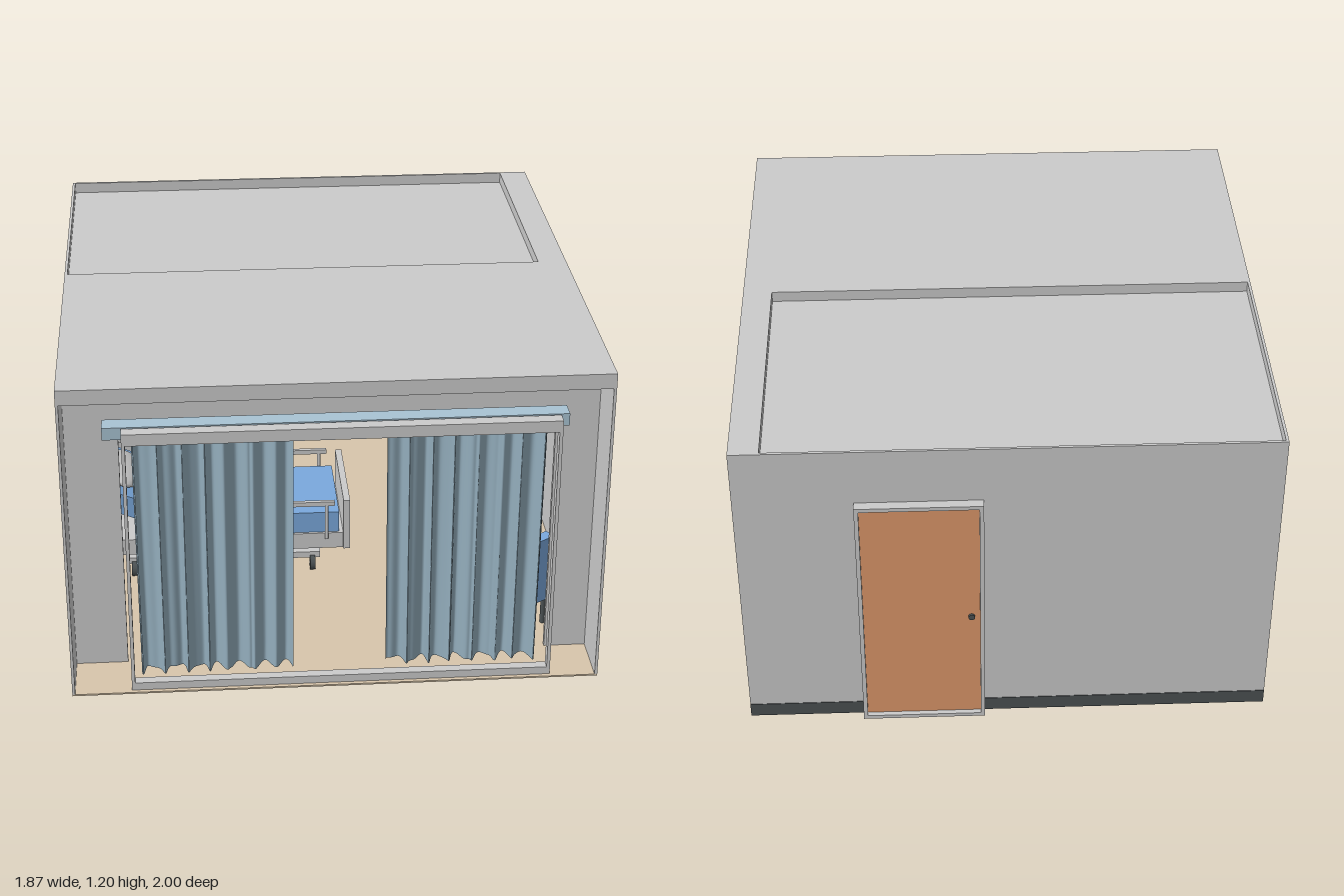
import * as THREE from 'three';

const mat = (color) => new THREE.MeshStandardMaterial({ color, side: THREE.DoubleSide });
const grey = mat(0xcccccc), beige = mat(0xd8c6ac), orange = mat(0xe09a6c), dark = mat(0x4c5254);
const fabric = mat(0x93adbc), blue = mat(0x7aa9dd), rail = mat(0xa9c4d4);

// box given by its min and max corners
function box(parent, name, x0, x1, y0, y1, z0, z1, m = grey) {
  const mesh = new THREE.Mesh(new THREE.BoxGeometry(x1 - x0, y1 - y0, z1 - z0), m);
  mesh.position.set((x0 + x1) / 2, (y0 + y1) / 2, (z0 + z1) / 2);
  mesh.name = name;
  parent.add(mesh);
  return mesh;
}

// round bar between two points
function bar(parent, name, a, b, r, m = grey) {
  const p = new THREE.Vector3(...a), q = new THREE.Vector3(...b);
  const mesh = new THREE.Mesh(new THREE.CylinderGeometry(r, r, p.distanceTo(q), 12), m);
  mesh.position.copy(p).add(q).multiplyScalar(0.5);
  mesh.quaternion.setFromUnitVectors(new THREE.Vector3(0, 1, 0), q.sub(p).normalize());
  mesh.name = name;
  parent.add(mesh);
  return mesh;
}

function group(parent, name, x = 0, y = 0, z = 0) {
  const g = new THREE.Group();
  g.name = name;
  g.position.set(x, y, z);
  parent.add(g);
  return g;
}

function caster(parent, x, z, r = 0.022) {
  bar(parent, 'caster', [x - 0.01, r, z], [x + 0.01, r, z], r, dark);
}

// floor, walls and stepped ceiling
function buildRoom(root) {
  const g = group(root, 'room');
  const W = 0.935, H = 1.195, B = -0.965, t = 0.01;
  box(g, 'floor', -W, W, 0, 0.006, B, 1, beige);
  box(g, 'rightWall', -W, -W + t, 0.006, H, B, 1);
  box(g, 'leftWall', W - t, W, 0.006, H, B, 1);
  box(g, 'backWall', -W + t, 0.09, 0.006, H, B, B + t);
  box(g, 'backWall', 0.52, W - t, 0.006, H, B, B + t);
  box(g, 'backWall', 0.09, 0.52, 0.975, H, B, B + t);
  box(g, 'frontCeiling', -W + t, W - t, 1.14, H, 0.01, 1);
  box(g, 'sideCeiling', 0.83, W - t, 1.14, H, B + t, 0.01);
  box(g, 'recessedCeiling', -W + t, 0.83, 1.14, 1.155, B + t, 0.01);
  box(g, 'frontPanel', -W + t, -0.74, 0.006, 1.14, 0.78, 0.8);
  box(g, 'frontPanel', 0.775, W - t, 0.006, 1.14, 0.78, 0.8);
  box(g, 'frontHeader', -0.74, 0.775, 0.98, 1.14, 0.78, 0.8);
  box(g, 'baseboard', -W, 0.085, 0, 0.055, B - 0.002, B + 0.02, dark);
  box(g, 'baseboard', 0.525, W, 0, 0.055, B - 0.002, B + 0.02, dark);
}

// back door with frame and handles on both faces
function buildDoor(root) {
  const g = group(root, 'door');
  for (const [x0, x1] of [[0.085, 0.1], [0.51, 0.525]]) box(g, 'doorFrame', x0, x1, 0, 0.98, -1, -0.93);
  box(g, 'doorFrame', 0.1, 0.51, 0.965, 0.98, -1, -0.93);
  box(g, 'doorFrame', 0.1, 0.51, 0, 0.015, -1, -0.93);
  box(g, 'doorPanel', 0.1, 0.51, 0.015, 0.965, -0.982, -0.945, orange);
  bar(g, 'handleRose', [0.13, 0.47, -0.99], [0.13, 0.47, -0.925], 0.012, dark);
  bar(g, 'handleLever', [0.13, 0.47, -0.926], [0.18, 0.47, -0.926], 0.005, dark);
}

// glazing frame, curtain rail and pleated curtains
function buildFront(root) {
  const g = group(root, 'frontScreen');
  box(g, 'frameSide', -0.725, -0.713, 0, 0.985, 0.95, 0.985);
  box(g, 'frameSide', 0.753, 0.765, 0, 0.985, 0.95, 0.985);
  box(g, 'frameTop', -0.725, 0.765, 0.975, 1.018, 0.94, 0.985);
  box(g, 'frameBottom', -0.725, 0.765, 0, 0.035, 0.95, 0.985);
  box(g, 'curtainRailTop', -0.79, 0.795, 1.012, 1.02, 0.87, 0.935, rail);
  box(g, 'curtainRailFront', -0.79, 0.795, 0.975, 1.012, 0.929, 0.935, rail);
  box(g, 'curtainRailBack', -0.79, 0.795, 0.975, 1.012, 0.87, 0.876, rail);

  const curtain = (name, x0, x1, phase) => {
    const geo = new THREE.PlaneGeometry(1, 1, 140, 12), p = geo.attributes.position;
    for (let i = 0; i < p.count; i++) {
      const u = p.getX(i) + 0.5, v = p.getY(i) + 0.5, a = u * Math.PI * 2;
      const fold = Math.sin(a * 7 + phase + 0.9 * Math.sin(a * 2 + phase)) + 0.35 * Math.sin(a * 13 + 2 * phase);
      const sway = 0.006 * Math.cos(a * 7 + phase) + 0.012 * (0.5 - u) * (1 - v);
      p.setXYZ(i, THREE.MathUtils.lerp(x0, x1, u) + sway, 0.035 + v * 0.955, 0.9 + fold * (0.025 - 0.006 * v));
    }
    geo.computeVertexNormals();
    const mesh = new THREE.Mesh(geo, fabric);
    mesh.name = name;
    g.add(mesh);
  };
  curtain('rightCurtain', -0.7, -0.15, 0.4);
  curtain('leftCurtain', 0.18, 0.73, 2.1);
}

// adjustable bed, head at the -x wall
function buildBed(root) {
  const g = group(root, 'bed', 0, 0, 0.03);
  box(g, 'bedBase', -0.75, 0, 0.05, 0.075, -0.15, 0.15);
  for (const x of [-0.6, -0.1]) box(g, 'liftColumn', x - 0.03, x + 0.03, 0.075, 0.13, -0.06, 0.06);
  box(g, 'bedDeck', -0.86, 0.085, 0.12, 0.185, -0.2, 0.2);
  box(g, 'footboard', 0.085, 0.11, 0.12, 0.33, -0.21, 0.21);
  box(g, 'headboard', -0.9, -0.875, 0.12, 0.42, -0.21, 0.21);
  box(g, 'mattress', -0.5, 0.07, 0.185, 0.27, -0.19, 0.19, blue);
  const back = box(g, 'raisedMattress', -0.2, 0.2, -0.04, 0.04, -0.19, 0.19, blue);
  back.position.set(-0.67, 0.3, 0);
  back.rotation.z = -0.38;
  const pillow = new THREE.Mesh(new THREE.SphereGeometry(1, 24, 12), grey);
  pillow.name = 'pillow';
  pillow.scale.set(0.08, 0.03, 0.14);
  pillow.position.set(-0.75, 0.39, 0);
  pillow.rotation.z = -0.38;
  g.add(pillow);
  for (const z of [-0.215, 0.215]) {
    for (const [x0, x1] of [[-0.62, -0.3], [-0.2, 0.05]]) {
      box(g, 'sideRail', x0, x1, 0.315, 0.333, z - 0.008, z + 0.008);
      for (const x of [x0 + 0.06, x1 - 0.03]) bar(g, 'railPost', [x, 0.17, z], [x, 0.32, z], 0.007);
    }
    for (const x of [-0.72, -0.03]) caster(g, x, z * 0.7, 0.03);
  }
}

// infusion stand with five casters, pump, bag and line
function buildStand(root) {
  const g = group(root, 'infusionStand', -0.385, 0, 0.395);
  bar(g, 'pole', [0, 0.05, 0], [0, 0.86, 0], 0.007);
  bar(g, 'hub', [0, 0.045, 0], [0, 0.085, 0], 0.02);
  for (let i = 0; i < 5; i++) {
    const a = i * Math.PI * 0.4, x = Math.cos(a) * 0.1, z = Math.sin(a) * 0.1;
    bar(g, 'baseLeg', [0, 0.065, 0], [x, 0.045, z], 0.009);
    caster(g, x, z);
  }
  bar(g, 'hangerArm', [-0.07, 0.86, 0], [0.07, 0.86, 0], 0.005);
  box(g, 'fluidBag', 0.045, 0.095, 0.72, 0.85, -0.012, 0.012);
  box(g, 'pump', -0.03, 0.03, 0.5, 0.6, 0, 0.05);
  const path = [[0.07, 0.72, 0], [0.09, 0.6, 0.02], [0.03, 0.48, 0.03], [-0.06, 0.42, -0.08], [-0.1, 0.33, -0.2]];
  const line = new THREE.CatmullRomCurve3(path.map((p) => new THREE.Vector3(...p)));
  const tube = new THREE.Mesh(new THREE.TubeGeometry(line, 32, 0.003, 6), dark);
  tube.name = 'infusionLine';
  g.add(tube);
}

// upholstered visitor chair turned toward the bed
function buildChair(root) {
  const g = group(root, 'visitorChair', 0.61, 0, 0.63);
  g.rotation.y = Math.atan2(-0.555, -0.83);
  box(g, 'seat', -0.15, 0.15, 0.12, 0.2, -0.11, 0.12, blue);
  box(g, 'backrest', -0.165, 0.165, 0.12, 0.38, -0.135, -0.09, blue);
  for (const s of [-1, 1]) {
    box(g, 'armrest', s * 0.158 - 0.015, s * 0.158 + 0.015, 0.1, 0.27, -0.09, 0.12);
    for (const z of [-0.11, 0.11]) bar(g, 'chairLeg', [s * 0.15, 0, z], [s * 0.15, 0.12, z], 0.01, dark);
  }
}

// cabinet beside the bed head
function buildCabinet(root) {
  const g = group(root, 'bedsideCabinet', -0.8, 0, -0.4);
  box(g, 'cabinetBody', -0.11, 0.11, 0.04, 0.34, -0.11, 0.11);
  box(g, 'cabinetTop', -0.12, 0.12, 0.34, 0.355, -0.12, 0.12);
  for (let i = 0; i < 3; i++) box(g, 'drawer', 0.11, 0.117, 0.06 + i * 0.09, 0.14 + i * 0.09, -0.1, 0.1);
  for (const x of [-0.08, 0.08]) for (const z of [-0.08, 0.08]) caster(g, x, z);
}

export function createModel() {
  const root = new THREE.Group();
  root.name = 'patientRoom';
  [buildRoom, buildDoor, buildFront, buildBed, buildStand, buildChair, buildCabinet].forEach((f) => f(root));
  return root;
}
